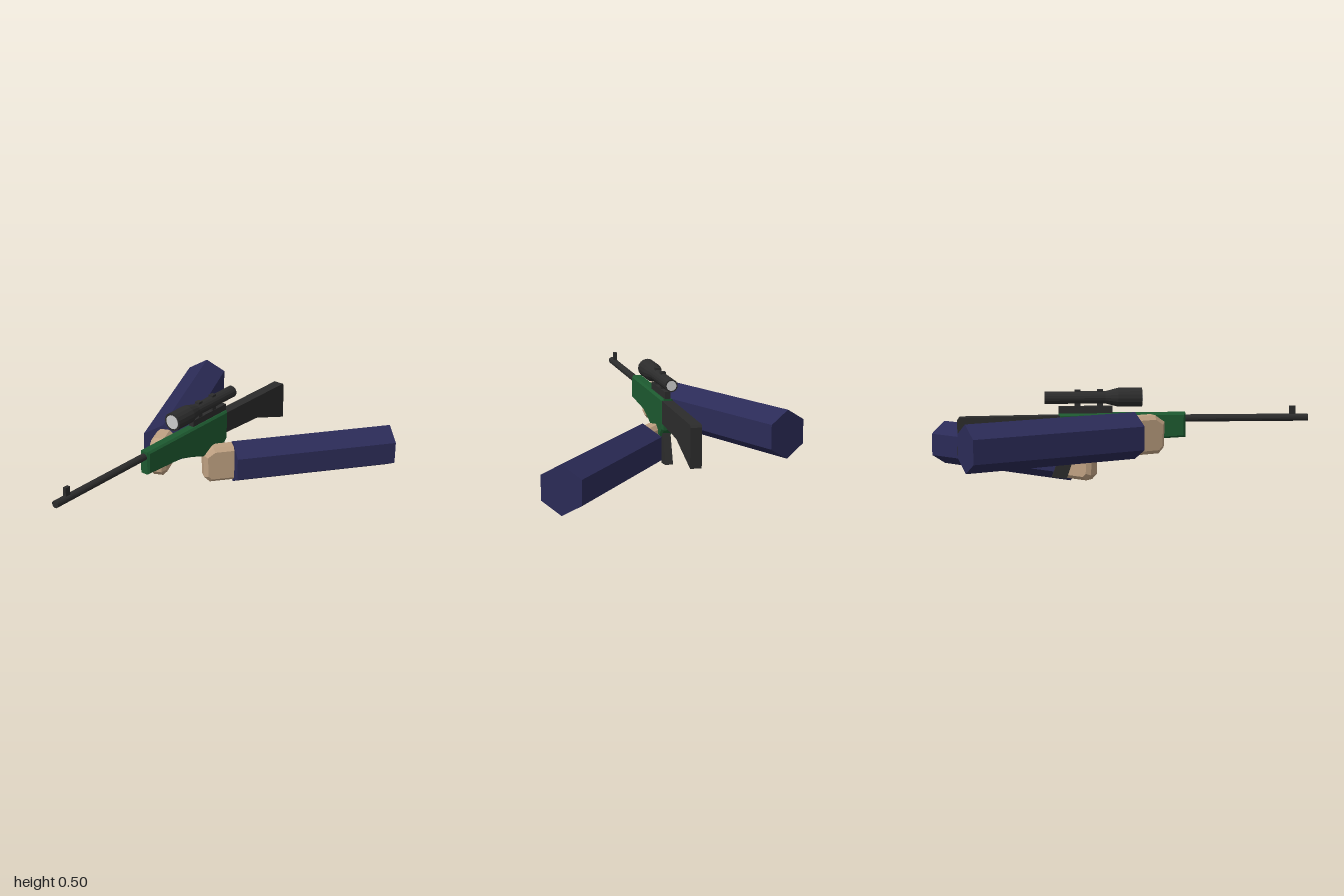
import * as THREE from 'three';

const mat = (color) => new THREE.MeshStandardMaterial({ color, flatShading: true });
const navy = mat(0x2b2b57), skin = mat(0xbfa182), green = mat(0x1d5a30), dark = mat(0x2c2c2c), lensMat = mat(0xcccccc);

function add(parent, name, geometry, material, x = 0, y = 0, z = 0) {
  const m = new THREE.Mesh(geometry, material);
  m.name = name;
  m.position.set(x, y, z);
  parent.add(m);
  return m;
}

// Slab from a side profile of [z, y] points, centred on x, with optional bevelled edges
function slab(points, width, bevel = 0) {
  const shape = new THREE.Shape(points.map(([z, y]) => new THREE.Vector2(z, y)));
  const depth = width - 2 * bevel;
  const g = new THREE.ExtrudeGeometry(shape, {
    depth, bevelEnabled: bevel > 0, bevelSegments: 1,
    bevelSize: bevel, bevelThickness: bevel, bevelOffset: -bevel,
  });
  return g.translate(0, 0, -depth / 2).rotateY(-Math.PI / 2);
}

// Cylinder lying along z, from z0 to z1
function rod(z0, z1, r0, r1 = r0, sides = 16) {
  return new THREE.CylinderGeometry(r1, r0, z1 - z0, sides)
    .rotateX(Math.PI / 2).translate(0, 0, (z0 + z1) / 2);
}

// Six-sided sleeve with a blocky hand; local +z runs from elbow to fingers
function arm(name, x, y, z, dirX, dirZ, length, side) {
  const g = new THREE.Group();
  g.name = name;
  g.position.set(x, y, z);
  g.rotation.y = Math.atan2(dirX, dirZ);
  add(g, 'sleeve', rod(-length, 0, 0.12, 0.12, 6), navy);
  const profile = [[-0.05, -0.1], [0.13, -0.1], [0.16, -0.07], [0.165, 0.06], [0.11, 0.098], [-0.05, 0.098]];
  add(g, 'hand', slab(profile, 0.09, 0.02), skin, side * 0.012);
  return g;
}

export function createModel() {
  const model = new THREE.Group();
  model.name = 'armsWithRifle';

  const rifle = new THREE.Group();
  rifle.name = 'rifle';
  rifle.position.x = -0.085;
  model.add(rifle);

  // Body, butt stock and grip
  add(rifle, 'body', slab([[0.365, 0.25], [0.365, 0.375], [-0.285, 0.375], [-0.285, 0.215], [-0.24, 0.17],
    [-0.09, 0.175], [0.01, 0.21], [0.1, 0.235]], 0.06, 0.01), green);
  add(rifle, 'buttStock', slab([[-0.265, 0.365], [-0.79, 0.358], [-0.8, 0.345], [-0.8, 0.15],
    [-0.55, 0.235], [-0.265, 0.25]], 0.056), dark);
  add(rifle, 'grip', slab([[-0.19, 0.2], [-0.265, 0.2], [-0.32, 0.045], [-0.245, 0.037]], 0.04), dark);

  // Barrel and front sight
  add(rifle, 'barrel', rod(0.34, 1, 0.019), dark, 0, 0.345);
  add(rifle, 'frontSight', new THREE.BoxGeometry(0.018, 0.055, 0.03), dark, 0, 0.378, 0.92);

  // Scope on its rail and two mounts
  add(rifle, 'scopeRail', new THREE.BoxGeometry(0.03, 0.04, 0.275), dark, 0, 0.39, -0.147);
  for (const z of [-0.072, -0.187]) {
    add(rifle, 'scopeMount', new THREE.BoxGeometry(0.026, 0.095, 0.03), dark, 0, 0.448, z);
  }
  const scope = new THREE.Group();
  scope.name = 'scope';
  scope.position.y = 0.455;
  rifle.add(scope);
  add(scope, 'scopeTube', rod(-0.355, -0.04, 0.032), dark);
  add(scope, 'scopeTaper', rod(-0.045, 0.02, 0.032, 0.049), dark);
  add(scope, 'scopeBell', rod(0.02, 0.142, 0.049), dark);
  add(scope, 'frontLens', rod(0.13, 0.144, 0.038), lensMat);
  add(scope, 'rearLens', rod(-0.357, -0.345, 0.025), lensMat);

  // Supporting arm and trigger arm
  model.add(arm('supportArm', -0.185, 0.272, 0.1, 0.407, 0.913, 0.912, 1));
  model.add(arm('triggerArm', 0.028, 0.122, -0.223, -0.617, 0.787, 0.883, -1));
  return model;
}
